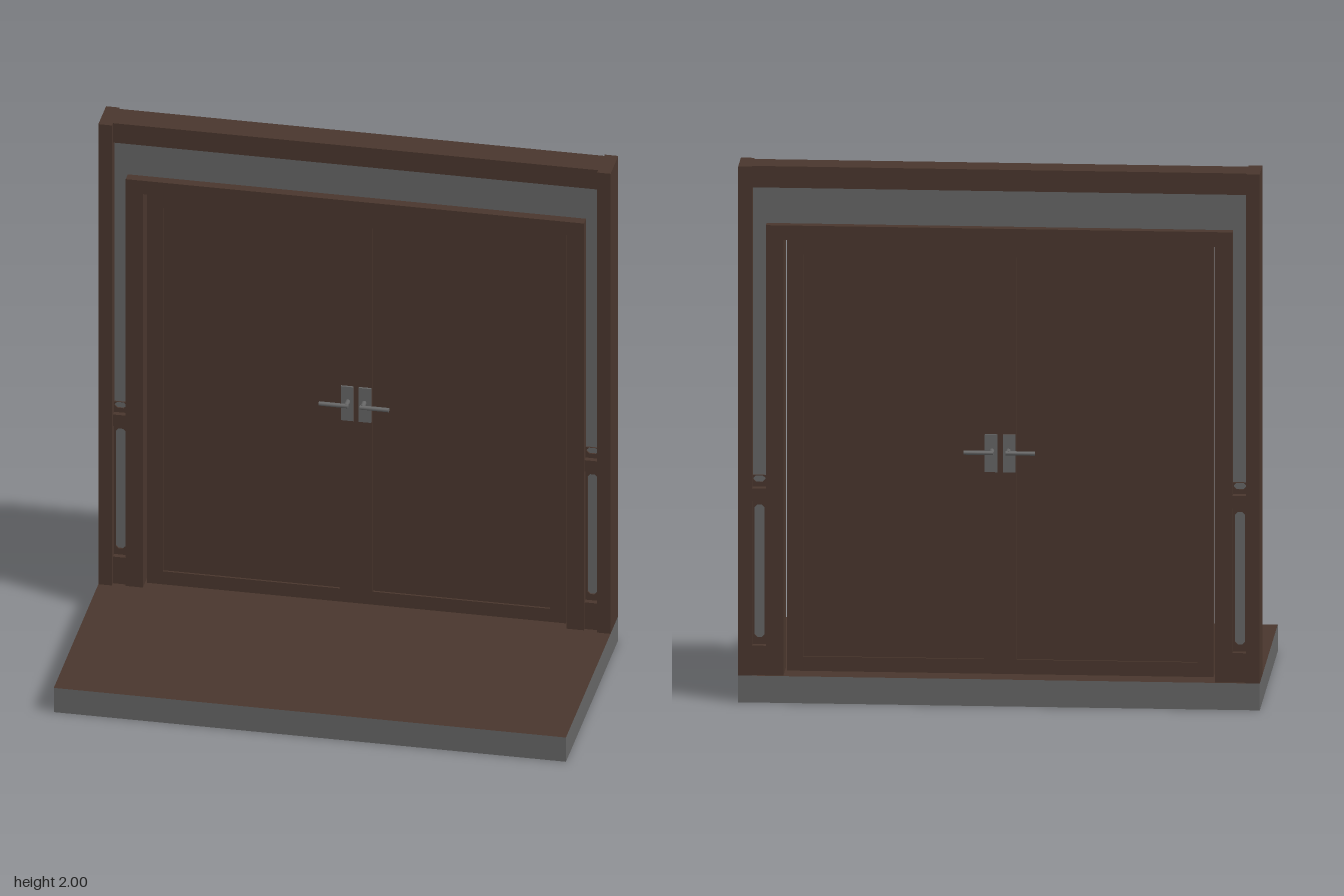
import * as THREE from 'three';

const wood = new THREE.MeshStandardMaterial({ color: 0x49362d });
wood.name = 'dark brown wood';
const grey = new THREE.MeshStandardMaterial({ color: 0x656565 });
grey.name = 'grey';

// Box given by its min and max corners
function box(parent, name, mat, [x0, x1], [y0, y1], [z0, z1]) {
  const mesh = new THREE.Mesh(new THREE.BoxGeometry(x1 - x0, y1 - y0, z1 - z0), mat);
  mesh.position.set((x0 + x1) / 2, (y0 + y1) / 2, (z0 + z1) / 2);
  mesh.name = name;
  parent.add(mesh);
  return mesh;
}

// Range mirrored to the chosen side
const side = (s, a, b) => (s > 0 ? [a, b] : [-b, -a]);

// Opening with cut corners
function cutCorners(x0, x1, y0, y1, c) {
  return new THREE.Path([
    [x0 + c, y0], [x1 - c, y0], [x1, y0 + c], [x1, y1 - c],
    [x1 - c, y1], [x0 + c, y1], [x0, y1 - c], [x0, y0 + c],
  ].map(([x, y]) => new THREE.Vector2(x, y)));
}

const DOOR_Z = -0.39;

function buildDoor(s) {
  const door = new THREE.Group();
  door.name = s > 0 ? 'leftDoor' : 'rightDoor';
  const thick = [DOOR_Z - 0.02, DOOR_Z + 0.02];
  const y = [0.106, 1.714];
  box(door, 'meetingStile', wood, side(s, 0, 0.06), y, thick);
  box(door, 'hingeStile', wood, side(s, 0.718, 0.777), y, thick);
  box(door, 'bottomRail', wood, side(s, 0.06, 0.718), [0.106, 0.16], thick);
  box(door, 'topRail', wood, side(s, 0.06, 0.718), [1.66, 1.714], thick);
  box(door, 'doorPanel', wood, side(s, 0.06, 0.718), [0.16, 1.66], [DOOR_Z - 0.012, DOOR_Z + 0.012]);

  // Handle set on both faces
  for (const f of [1, -1]) {
    const face = DOOR_Z + f * 0.02;
    const handle = new THREE.Group();
    handle.name = f > 0 ? 'frontHandle' : 'backHandle';
    box(handle, 'handlePlate', grey, side(s, 0.01, 0.056), [0.86, 1.0],
      f > 0 ? [face, face + 0.008] : [face - 0.008, face]);
    const spindle = new THREE.Mesh(new THREE.CylinderGeometry(0.009, 0.009, 0.045, 12), grey);
    spindle.rotation.x = Math.PI / 2;
    spindle.position.set(s * 0.03, 0.94, face + f * 0.0225);
    spindle.name = 'spindle';
    const lever = new THREE.Mesh(new THREE.CylinderGeometry(0.008, 0.008, 0.108, 12), grey);
    lever.rotation.z = Math.PI / 2;
    lever.position.set(s * 0.076, 0.94, face + f * 0.044);
    lever.name = 'lever';
    handle.add(spindle, lever);
    door.add(handle);
  }
  return door;
}

export function createModel() {
  const model = new THREE.Group();
  model.name = 'doubleDoorEntrance';

  // Grey slab with a wooden top face
  box(model, 'floorSlab', [grey, grey, wood, grey, grey, grey], [-0.95, 0.95], [0, 0.1], [-0.475, 0.475]);

  // Outer frame
  const beamZ = [-0.465, -0.353];
  for (const s of [1, -1]) box(model, 'outerPost', wood, side(s, 0.9, 0.95), [0.1, 2], [-0.475, -0.335]);
  box(model, 'topBeam', wood, [-0.9, 0.9], [1.92, 2], beamZ);

  // Inner door frame
  const frameZ = [-0.467, -0.342];
  for (const s of [1, -1]) box(model, 'doorJamb', wood, side(s, 0.786, 0.85), [0.1, 1.78], frameZ);
  box(model, 'doorHead', wood, [-0.786, 0.786], [1.725, 1.78], frameZ);

  // Grey infill above and beside the door frame
  const infillZ = [-0.43, -0.38];
  box(model, 'transomPanel', grey, [-0.9, 0.9], [1.78, 1.92], infillZ);
  for (const s of [1, -1]) {
    box(model, 'sidePanel', grey, side(s, 0.85, 0.9), [0.1, 1.78], infillZ);
    box(model, 'sideMidRail', wood, side(s, 0.85, 0.9), [0.75, 0.797], beamZ);
    box(model, 'sideBottomRail', wood, side(s, 0.85, 0.9), [0.1, 0.21], beamZ);

    // Thin wooden bead around the side panels, front and back
    const [x0, x1] = side(s, 0.85, 0.9);
    const bead = new THREE.Shape([
      new THREE.Vector2(x0, 0.21), new THREE.Vector2(x1, 0.21),
      new THREE.Vector2(x1, 0.84), new THREE.Vector2(x0, 0.84),
    ]);
    bead.holes.push(
      cutCorners(...side(s, 0.857, 0.893), 0.235, 0.73, 0.01),
      cutCorners(...side(s, 0.853, 0.898), 0.815, 0.839, 0.01),
    );
    const geo = new THREE.ExtrudeGeometry(bead, { depth: 0.006, bevelEnabled: false });
    for (const z of [-0.38, -0.436]) {
      const mesh = new THREE.Mesh(geo, wood);
      mesh.position.z = z;
      mesh.name = 'sideBead';
      model.add(mesh);
    }
  }

  model.add(buildDoor(1), buildDoor(-1));
  return model;
}
